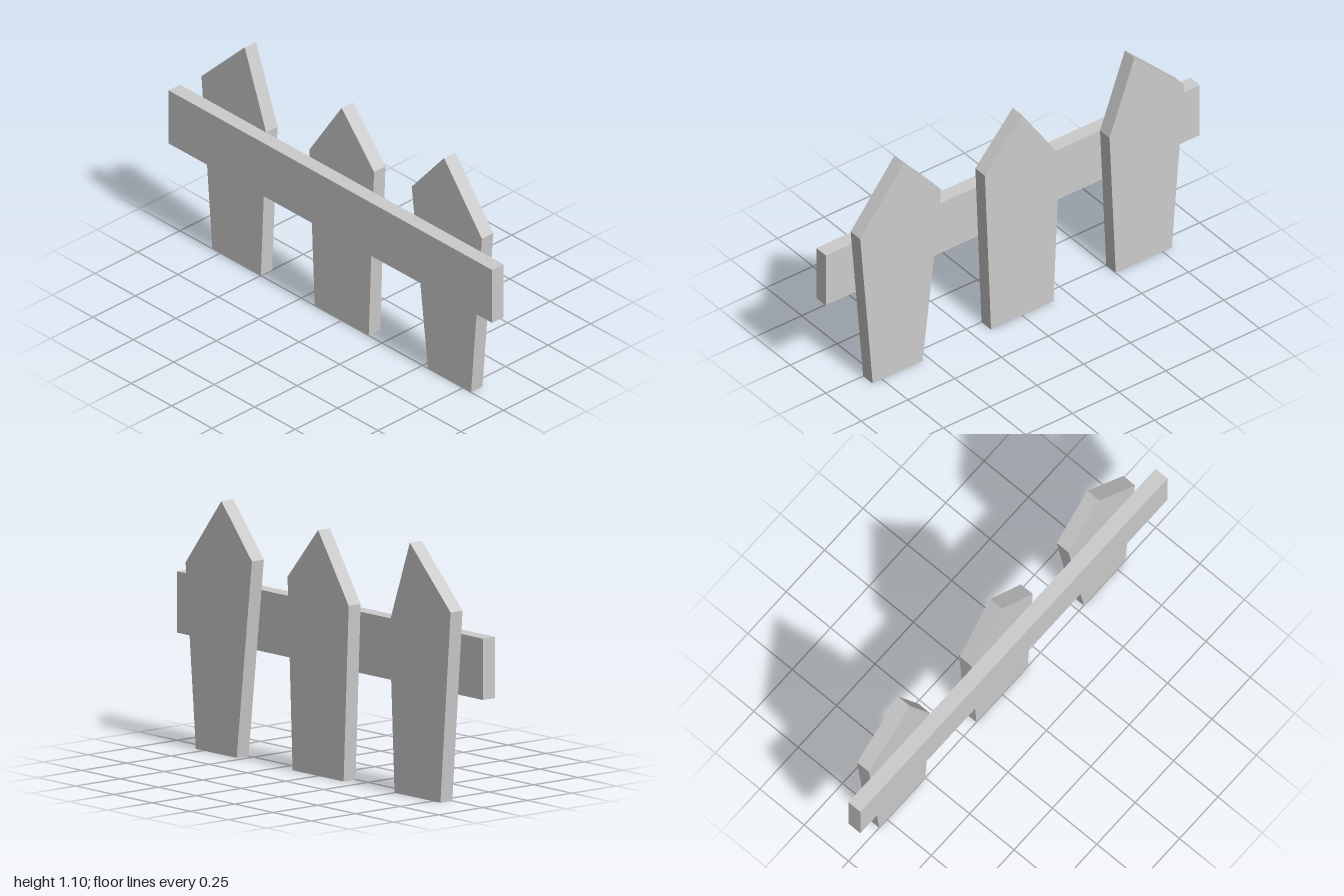
import * as THREE from 'three';

const T = 0.067; // board thickness

export function createModel() {
  const group = new THREE.Group();
  const material = new THREE.MeshStandardMaterial({ color: 0xcccccc, flatShading: true });

  // Horizontal rail across the front of the pickets
  const rail = new THREE.Mesh(new THREE.BoxGeometry(2, 0.266, T), material);
  rail.name = 'rail';
  rail.position.set(0, 0.6, T / 2);
  group.add(rail);

  // Crooked pointed pickets: outlines counter-clockwise from the bottom corner at -x
  const pickets = {
    rightPicket: [[-0.8, 0], [-0.5, 0], [-0.467, 0.733], [-0.6, 1.1], [-0.867, 0.835]],
    middlePicket: [[-0.167, 0], [0.167, 0], [0.2, 0.835], [0, 1.067], [-0.2, 0.767]],
    leftPicket: [[0.533, 0], [0.8, 0], [0.867, 0.8], [0.633, 1.1], [0.433, 0.867]],
  };
  for (const [name, outline] of Object.entries(pickets)) {
    const shape = new THREE.Shape(outline.map(([x, y]) => new THREE.Vector2(x, y)));
    const geometry = new THREE.ExtrudeGeometry(shape, { depth: T, bevelEnabled: false });
    const picket = new THREE.Mesh(geometry, material);
    picket.name = name;
    picket.position.z = -T;
    group.add(picket);
  }
  return group;
}
